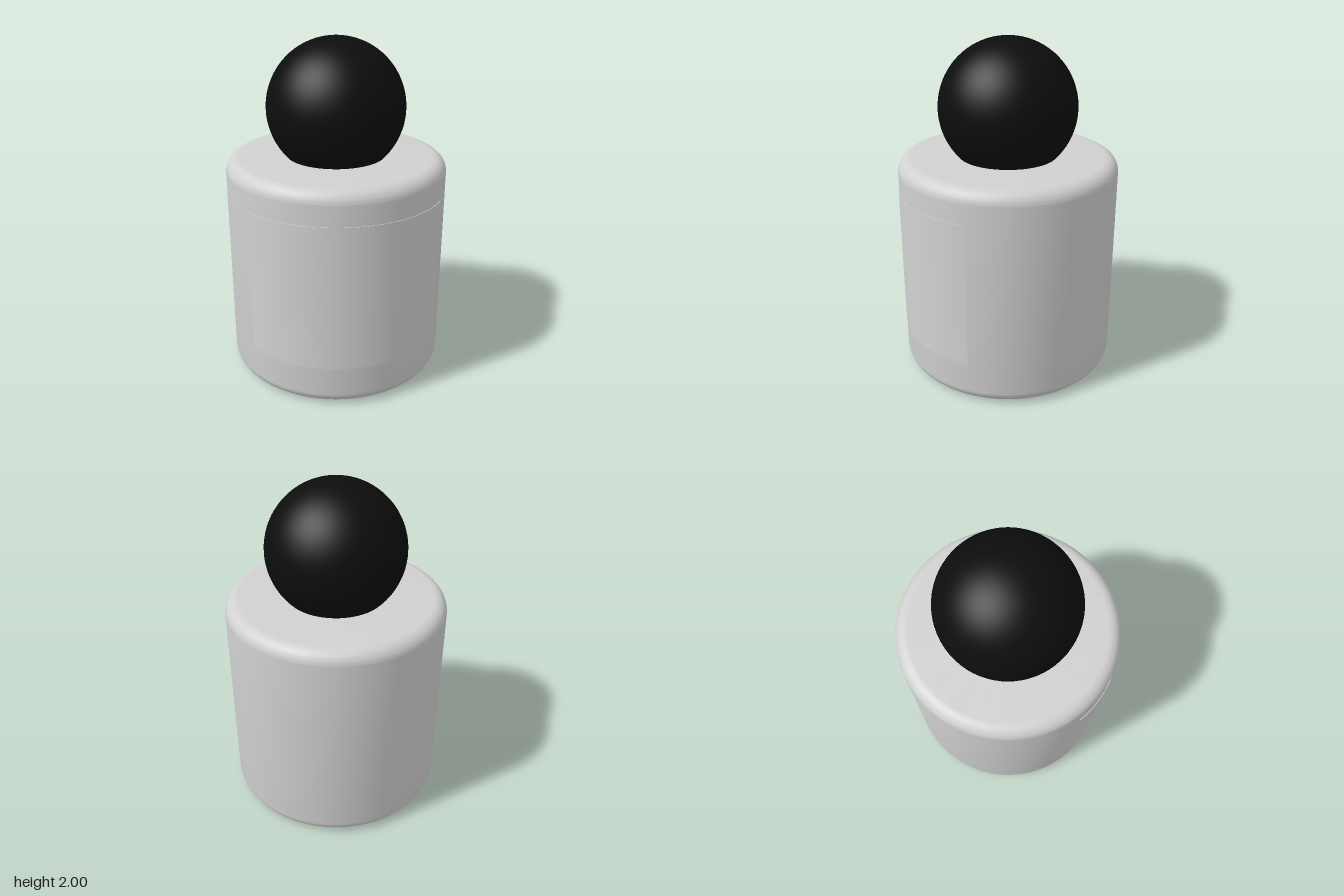
import * as THREE from 'three';
import { toCreasedNormals } from 'three/addons/utils/BufferGeometryUtils.js';

const RADIUS = 0.65, HEIGHT = 1.315, FILLET = 0.08;

export function createModel() {
  const bodyGrey = new THREE.MeshStandardMaterial({ color: 0xd0d0d0 });
  bodyGrey.name = 'bodyGrey';
  const labelGrey = new THREE.MeshStandardMaterial({ color: 0xd2d2d2 });
  labelGrey.name = 'labelGrey';
  const knobBlack = new THREE.MeshStandardMaterial({ color: 0x0d0d0d });
  knobBlack.name = 'knobBlack';

  const model = new THREE.Group();
  model.name = 'jarWithBallLid';
  const add = (name, geometry, material) => {
    const mesh = new THREE.Mesh(geometry, material);
    mesh.name = name;
    mesh.position.z = -0.003;
    model.add(mesh);
    return mesh;
  };

  // Body: cylinder with rounded top and bottom rims
  const profile = new THREE.Path();
  profile.moveTo(0, 0);
  profile.lineTo(RADIUS - FILLET, 0);
  profile.absarc(RADIUS - FILLET, FILLET, FILLET, -Math.PI / 2, 0, false);
  profile.lineTo(RADIUS, HEIGHT - FILLET);
  profile.absarc(RADIUS - FILLET, HEIGHT - FILLET, FILLET, 0, Math.PI / 2, false);
  profile.lineTo(0, HEIGHT);
  const body = new THREE.LatheGeometry(profile.getPoints(8), 96);
  add('body', toCreasedNormals(body, 0.5), bodyGrey);

  // Label: thin curved plate wrapped around the front
  const halfAngle = THREE.MathUtils.degToRad(57);
  const labelProfile = [[RADIUS - 0.002, 0.25], [RADIUS + 0.0035, 0.25], [RADIUS + 0.0035, 1.12], [RADIUS - 0.002, 1.12]]
    .map(([r, y]) => new THREE.Vector2(r, y));
  const label = new THREE.LatheGeometry(labelProfile, 32, -halfAngle, halfAngle * 2);
  add('frontLabel', toCreasedNormals(label, 0.5), labelGrey);

  // Ball knob, sunk a little into the top
  const knob = add('ballKnob', new THREE.SphereGeometry(0.405, 64, 40), knobBlack);
  knob.position.y = 1.595;

  return model;
}
